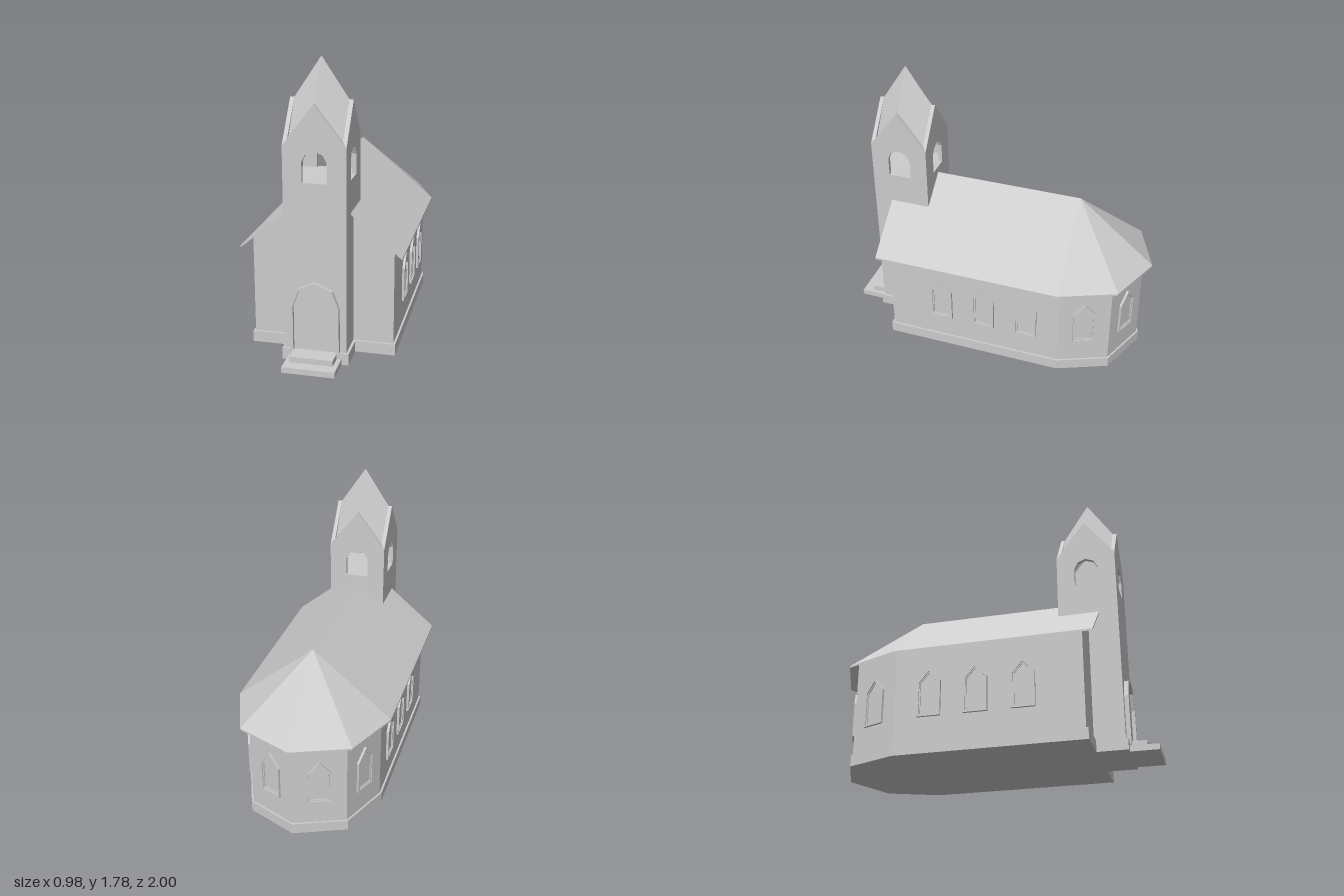
import * as THREE from 'three';

const stone = new THREE.MeshStandardMaterial({ color: 0xcccccc });
stone.name = 'plain stone';

const APSE_Z = -0.51;  // centre of the half-octagon apse
const TOWER_Z = 0.63;  // centre of the tower
const T = 0.185;       // half width of the tower

function add(parent, geometry, name) {
  const mesh = new THREE.Mesh(geometry, stone);
  mesh.name = name;
  parent.add(mesh);
  return mesh;
}

function box(parent, name, w, y0, y1, z0, z1) {
  const mesh = add(parent, new THREE.BoxGeometry(w, y1 - y0, z1 - z0), name);
  mesh.position.set(0, (y0 + y1) / 2, (z0 + z1) / 2);
}

const vectors = (pts) => pts.map(([x, y]) => new THREE.Vector2(x, y));

// Symmetric outline from its right half, listed bottom to top, ending on the axis
const mirrored = (half) => [...half, ...half.slice(0, -1).reverse().map(([x, y]) => [-x, y])];

function slab(outline, depth, hole) {
  const shape = new THREE.Shape(vectors(outline));
  if (hole) shape.holes.push(new THREE.Path(vectors(hole)));
  return new THREE.ExtrudeGeometry(shape, { depth, bevelEnabled: false });
}

// Plan outline [x, z] of the nave with its apse, from front right round the back
function plan(r, zFront) {
  const pts = [[r, zFront]];
  for (let i = 0; i <= 4; i++) {
    const a = i * Math.PI / 4;
    pts.push([r * Math.cos(a), APSE_Z - r * Math.sin(a)]);
  }
  pts.push([-r, zFront]);
  return pts;
}

function prism(r, zFront, height) {
  return slab(plan(r, zFront).map(([x, z]) => [x, -z]), height).rotateX(-Math.PI / 2);
}

function fromTriangles(tris) {
  const g = new THREE.BufferGeometry();
  g.setAttribute('position', new THREE.Float32BufferAttribute(tris.flat(2), 3));
  g.computeVertexNormals();
  return g;
}

// Roof surface over the plan: two long slopes and four apse facets
function roofTriangles(r, zFront, yEave, yRidge) {
  const e = plan(r, zFront).map(([x, z]) => [x, yEave, z]);
  const apex = [0, yRidge, APSE_Z], front = [0, yRidge, zFront];
  const tris = [];
  for (let i = 0; i < 6; i++) tris.push([e[i], e[i + 1], apex]);
  tris.push([e[0], apex, front], [e[6], front, apex]);
  return { tris, rim: [...e, front] };
}

function roofShell(r, zFront, yEave, yRidge, t) {
  const { tris, rim } = roofTriangles(r, zFront, yEave, yRidge);
  const low = ([x, y, z]) => [x, y - t, z];
  const all = [...tris];
  for (const [a, b, c] of tris) all.push([low(a), low(c), low(b)]);
  rim.forEach((a, i) => {
    const b = rim[(i + 1) % rim.length];
    all.push([a, low(a), low(b)], [a, low(b), b]);
  });
  return fromTriangles(all);
}

// Lancet window: raised outer frame, lower inner frame and pane, facing +z
function lancet(inset) {
  const w = 0.072 - inset;
  return mirrored([[w, 0.225 + inset], [w, 0.44 - inset * 0.2], [0, 0.525 - inset * 1.4]]);
}

function makeWindow() {
  const g = new THREE.Group();
  g.name = 'window';
  add(g, slab(lancet(0), 0.015, lancet(0.012)), 'windowOuterFrame');
  add(g, slab(lancet(0.012), 0.008, lancet(0.02)), 'windowInnerFrame');
  add(g, slab(lancet(0.02), 0.002), 'windowPane');
  return g;
}

function makeNave() {
  const nave = new THREE.Group();
  nave.name = 'nave';
  add(nave, prism(0.43, TOWER_Z, 0.676), 'naveWalls');
  add(nave, prism(0.442, 0.645, 0.07), 'navePlinth');
  add(nave, slab([[-0.43, 0.676], [0.43, 0.676], [0, 1.038]], 0.02), 'frontGable').position.z = TOWER_Z - 0.02;
  add(nave, roofShell(0.488, 0.7, 0.642, 1.05, 0.012), 'naveRoof');

  // Three windows along each side
  for (const side of [1, -1]) {
    for (const z of [0.275, -0.01, -0.295]) {
      const w = makeWindow();
      w.position.set(side * 0.43, 0, z);
      w.rotation.y = side * Math.PI / 2;
      nave.add(w);
    }
  }
  // One window on each apse face
  const d = 0.43 * Math.cos(Math.PI / 8);
  for (let i = 0; i < 4; i++) {
    const a = (i + 0.5) * Math.PI / 4;
    const w = makeWindow();
    w.position.set(d * Math.cos(a), 0, APSE_Z - d * Math.sin(a));
    w.rotation.y = Math.PI / 2 + a;
    nave.add(w);
  }
  return nave;
}

function makeTower() {
  const tower = new THREE.Group();
  tower.name = 'tower';
  const t = 0.025, inner = T - t;
  const wall = mirrored([[T, 0], [T, 1.3], [0, 1.54]]);
  const opening = mirrored([[0.073, 1.09], [0.073, 1.21], [0.05, 1.255], [0, 1.275]]);
  for (let i = 0; i < 4; i++) {
    const side = new THREE.Group();
    side.name = 'towerSide';
    side.rotation.y = i * Math.PI / 2;
    add(side, slab(wall, t, opening), 'gabledWall').position.z = inner;
    // Diamond-shaped spire face between two gable peaks
    const top = [0, 1.78, 0], a = [0, 1.54, inner], b = [inner, 1.3, inner], c = [inner, 1.54, 0];
    add(side, fromTriangles([[top, a, c], [a, b, c]]), 'spireFace');
    tower.add(side);
  }
  box(tower, 'belfryFloor', inner * 2, 1.06, 1.09, -inner, inner);
  box(tower, 'towerPlinth', 0.4, 0, 0.07, -0.18, 0.2);
  tower.position.z = TOWER_Z;
  return tower;
}

function makeEntrance() {
  const entrance = new THREE.Group();
  entrance.name = 'entrance';
  box(entrance, 'lowerStep', 0.316, 0, 0.035, 0.8, 1);
  box(entrance, 'upperStep', 0.26, 0, 0.07, 0.8, 0.93);
  const outer = mirrored([[0.145, 0.05], [0.145, 0.35], [0.105, 0.455], [0, 0.498]]);
  const inner = mirrored([[0.13, 0.06], [0.13, 0.347], [0.094, 0.444], [0, 0.483]]);
  add(entrance, slab(outer, 0.03, inner), 'doorFrame').position.z = 0.811;
  add(entrance, slab(inner, 0.008), 'door').position.z = 0.811;
  return entrance;
}

export function createModel() {
  const model = new THREE.Group();
  model.name = 'chapel';
  model.add(makeNave(), makeTower(), makeEntrance());
  return model;
}
